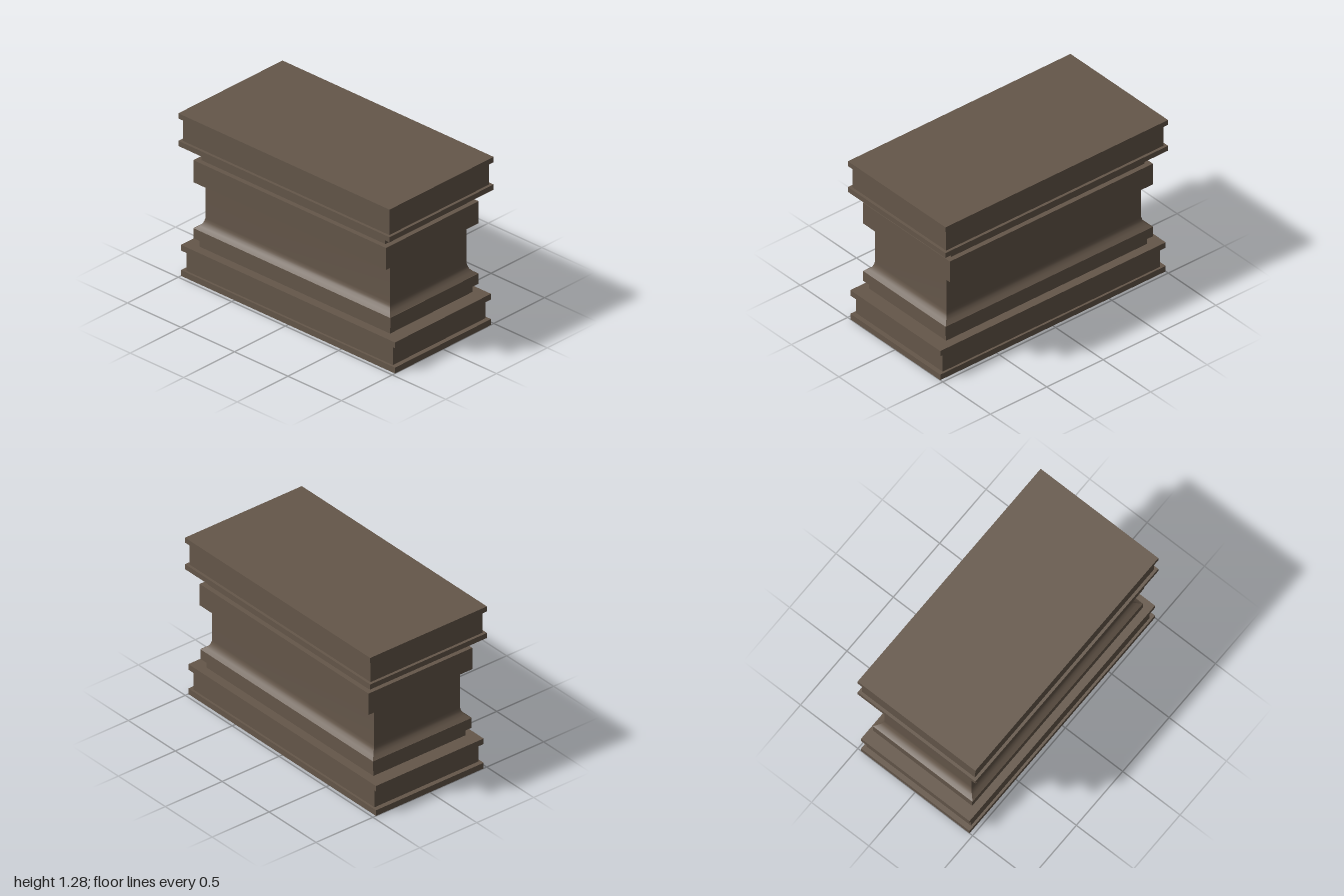
import * as THREE from 'three';

// Four-sided shaft: each side is smooth up its profile, with sharp corners.
function shaftGeometry(halfX, halfZ, profile) {
  const positions = [], indices = [];
  const corners = [[1, 1], [1, -1], [-1, -1], [-1, 1]];
  for (let side = 0; side < 4; side++) {
    const start = positions.length / 3;
    for (const [flare, y] of profile) {
      for (const [sx, sz] of [corners[side], corners[(side + 1) % 4]]) {
        positions.push(sx * (halfX + flare), y, sz * (halfZ + flare));
      }
    }
    for (let row = 0; row < profile.length - 1; row++) {
      const a = start + row * 2;
      indices.push(a, a + 1, a + 3, a, a + 3, a + 2);
    }
  }
  const geometry = new THREE.BufferGeometry();
  geometry.setAttribute('position', new THREE.Float32BufferAttribute(positions, 3));
  geometry.setIndex(indices);
  geometry.computeVertexNormals();
  return geometry;
}

export function createModel() {
  const group = new THREE.Group();
  const stone = new THREE.MeshStandardMaterial({ color: 0x65574a });
  stone.name = 'brownStone';

  // Stacked courses: name, half width, half depth, bottom, top
  const courses = [
    ['basePlate', 1.0, 0.473, 0, 0.045],
    ['plinth', 0.964, 0.456, 0.045, 0.196],
    ['plinthCap', 1.0, 0.473, 0.196, 0.24],
    ['lowerNeck', 0.89, 0.405, 0.24, 0.304],
    ['flareBase', 0.921, 0.432, 0.304, 0.383],
    ['upperBand', 0.9, 0.456, 0.755, 0.926],
    ['upperNeck', 0.858, 0.419, 0.926, 1.025],
    ['friezeLedge', 0.987, 0.513, 1.025, 1.065],
    ['frieze', 0.965, 0.492, 1.065, 1.238],
    ['topSlab', 0.987, 0.513, 1.238, 1.278],
  ];
  for (const [name, halfX, halfZ, bottom, top] of courses) {
    const mesh = new THREE.Mesh(new THREE.BoxGeometry(halfX * 2, top - bottom, halfZ * 2), stone);
    mesh.position.y = (bottom + top) / 2;
    mesh.name = name;
    group.add(mesh);
  }

  // Shaft with a concave flare at its foot: outward offset, height
  const profile = [[0.056, 0.383], [0.03, 0.402], [0.012, 0.422], [0.005, 0.44], [0, 0.46], [0, 0.755]];
  const shaft = new THREE.Mesh(shaftGeometry(0.863, 0.378, profile), stone);
  shaft.name = 'shaft';
  group.add(shaft);

  return group;
}
